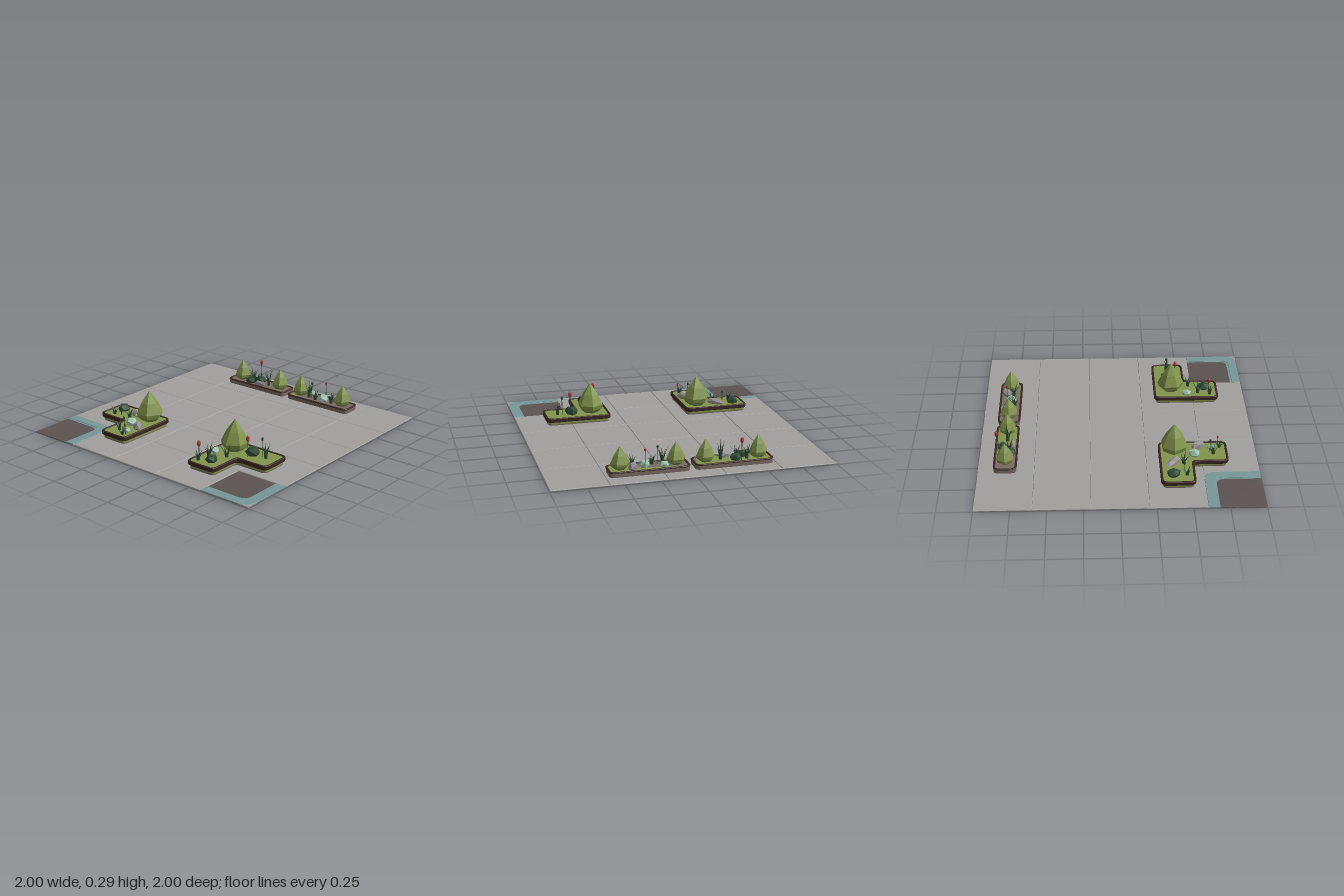
import * as THREE from 'three';
import { mergeGeometries } from 'three/addons/utils/BufferGeometryUtils.js';

const paint = (name, color) => Object.assign(new THREE.MeshStandardMaterial({ color }), { name });
const mats = {
  paving: paint('paving grey', 0xa19f9d),
  curb: paint('teal curb', 0x789798),
  road: paint('road brown', 0x5c5352),
  rim: paint('dark brown', 0x3a2722),
  base: paint('taupe', 0x7a6a63),
  grass: paint('olive green', 0x82944b),
  leaf: paint('dark green', 0x304c38),
  pale: paint('pale mint stone', 0x9cc2b2),
  stone: paint('grey stone', 0x949095),
  red: paint('flower red', 0xb23338),
};

let seed = 7;
const rnd = () => (seed = (seed * 16807) % 2147483647) / 2147483647;

function part(parent, name, geo, mat, x = 0, y = 0, z = 0) {
  const mesh = new THREE.Mesh(geo, mat);
  mesh.name = name;
  mesh.position.set(x, y, z);
  parent.add(mesh);
  return mesh;
}

// Faceted normals without touching the material
function facet(geo) {
  const g = geo.index ? geo.toNonIndexed() : geo;
  g.computeVertexNormals();
  return g;
}

// Outline from [x, z] corners, rounded by r
function rounded(points, r) {
  const s = new THREE.Shape();
  const v = points.map(p => new THREE.Vector2(...p));
  v.forEach((p, i) => {
    const a = v[(i + v.length - 1) % v.length], b = v[(i + 1) % v.length];
    const p1 = p.clone().add(a.clone().sub(p).setLength(r));
    const p2 = p.clone().add(b.clone().sub(p).setLength(r));
    if (i) s.lineTo(p1.x, p1.y); else s.moveTo(p1.x, p1.y);
    s.quadraticCurveTo(p.x, p.y, p2.x, p2.y);
  });
  s.closePath();
  return s;
}

// Flat slab of an [x, z] outline between two heights, with optional chamfer
function slab(shape, y0, y1, bevel = 0) {
  const g = new THREE.ExtrudeGeometry(shape, {
    depth: y1 - y0 - 2 * bevel, curveSegments: 4, bevelEnabled: bevel > 0,
    bevelThickness: bevel, bevelSize: bevel, bevelOffset: -bevel, bevelSegments: 1,
  });
  return g.rotateX(Math.PI / 2).translate(0, y1 - bevel, 0);
}

const rect = (x0, x1, z0, z1) => d => [[x0 + d, z0 + d], [x1 - d, z0 + d], [x1 - d, z1 - d], [x0 + d, z1 - d]];
const leftL = d => [[-0.795 + d, 0.29 + d], [-0.3 - d, 0.29 + d], [-0.3 - d, 0.785 - d],
  [-0.545 + d, 0.785 - d], [-0.545 + d, 0.535 - d], [-0.795 + d, 0.535 - d]];
const rightL = d => [[0.295 + d, 0.3 + d], [0.79 - d, 0.3 + d], [0.79 - d, 0.545 - d],
  [0.54 - d, 0.545 - d], [0.54 - d, 0.795 - d], [0.295 + d, 0.795 - d]];

// Planter: inset plinth, chamfered rim, soil bed and footing
function planter(parent, name, outline, top, rimHeight, inset, footing) {
  const g = new THREE.Group();
  g.name = name;
  parent.add(g);
  const rim = rounded(outline(0), 0.045);
  rim.holes.push(rounded(outline(0.016), 0.033));
  part(g, 'plinth', slab(rounded(outline(inset), 0.035), 0.004, top - rimHeight + 0.004), mats.base);
  part(g, 'rim', slab(rim, top - rimHeight, top, 0.004), mats.rim);
  part(g, 'grassBed', slab(rounded(outline(0.013), 0.035), 0.02, top - 0.006), mats.grass);
  if (footing) part(g, 'footing', slab(rounded(outline(inset), 0.035), 0, 0.004), mats.rim);
  return g;
}

// Pointed six-sided bush
function bush(g, x, z, r, y, top, turn) {
  const h = top - y;
  const profile = [[0, 0], [0.5, 0], [0.9, 0.14], [1, 0.28], [0.62, 0.62], [0, 1]]
    .map(([a, b]) => new THREE.Vector2(a * r, b * h));
  part(g, 'bush', facet(new THREE.LatheGeometry(profile, 6)), mats.grass, x, y, z).rotation.y = turn;
}

// Irregular boulder; shared corners move together
function boulder(g, name, mat, x, y, z, sx, sy, sz, turn = 0) {
  const geo = new THREE.IcosahedronGeometry(1, 0), p = geo.attributes.position, moved = {};
  for (let i = 0; i < p.count; i++) {
    const v = new THREE.Vector3().fromBufferAttribute(p, i);
    const key = v.toArray().map(n => Math.round(n * 50)).join();
    moved[key] ??= 0.85 + 0.35 * rnd();
    v.multiplyScalar(moved[key]);
    p.setXYZ(i, v.x * sx, v.y * sy, v.z * sz);
  }
  part(g, name, facet(geo), mat, x, y + sy * 0.45, z).rotation.y = turn;
}

// Tuft of curved, flattened blades
function tuft(g, x, y, z, h, n = 6) {
  const blades = [];
  for (let i = 0; i < n; i++) {
    const len = h * (0.6 + 0.4 * rnd());
    const b = new THREE.ConeGeometry(0.011, len, 4, 3).translate(0, len / 2, 0).scale(0.4, 1, 1);
    const p = b.attributes.position, lean = 0.02 + 0.03 * rnd();
    for (let k = 0; k < p.count; k++) p.setX(k, p.getX(k) + 0.006 + lean * (p.getY(k) / len) ** 2);
    blades.push(facet(b.rotateY(i * Math.PI * 2 / n + rnd())));
  }
  part(g, 'grassTuft', mergeGeometries(blades), mats.leaf, x, y, z);
}

// Thin stem with an oval bud
function flower(g, x, y, z, top, r, mat) {
  const h = top - y;
  part(g, 'stem', new THREE.CylinderGeometry(0.002, 0.003, h, 5), mats.leaf, x, y + h / 2, z);
  part(g, 'bud', facet(new THREE.SphereGeometry(r, 6, 4).scale(1, 1.7, 1)), mat, x, top - r * 1.7, z);
}

export function createModel() {
  const model = new THREE.Group();
  model.name = 'plaza';

  // Paving slabs, leaving the two front corners for the road
  const tile = slab(rounded(rect(-0.2, 0.2, -0.2, 0.2)(0), 0.001), 0.002, 0.012, 0.004);
  for (let i = -2; i <= 2; i++) for (let j = -2; j <= 2; j++) {
    if (j === 2 && Math.abs(i) === 2) continue;
    part(model, 'pavingSlab', tile, mats.paving, i * 0.4, 0, j * 0.4);
  }

  // Road corners with a rounded curb
  const bend = (w, r) => { // quarter outline, inset by w
    const s = new THREE.Shape(), e = 0.4;
    s.moveTo(0, w); s.lineTo(e - w - r, w);
    s.quadraticCurveTo(e - w, w, e - w, w + r);
    s.lineTo(e - w, e); s.lineTo(0, e); s.closePath();
    return s;
  };
  const strip = (w0, r0, w1, r1) => {
    const s = new THREE.Shape(), e = 0.4;
    s.moveTo(0, w0); s.lineTo(e - w0 - r0, w0);
    s.quadraticCurveTo(e - w0, w0, e - w0, w0 + r0);
    s.lineTo(e - w0, e); s.lineTo(e - w1, e); s.lineTo(e - w1, w1 + r1);
    s.quadraticCurveTo(e - w1, w1, e - w1 - r1, w1);
    s.lineTo(0, w1); s.closePath();
    return s;
  };
  const filler = new THREE.Shape();
  filler.moveTo(0.31, 0); filler.lineTo(0.4, 0); filler.lineTo(0.4, 0.09);
  filler.quadraticCurveTo(0.4, 0, 0.31, 0);
  for (const side of [-1, 1]) {
    const g = new THREE.Group();
    g.name = side < 0 ? 'rightRoadCorner' : 'leftRoadCorner';
    const place = geo => side < 0 ? geo.translate(-1, 0, 0.6)
      : geo.rotateY(-Math.PI / 2).translate(1, 0, 0.6);
    part(g, 'road', place(slab(bend(0.08, 0.06), 0.001, 0.005)), mats.road);
    part(g, 'curb', place(slab(strip(0, 0.09, 0.066, 0.07), 0.001, 0.013, 0.002)), mats.curb);
    part(g, 'curbLip', place(slab(strip(0.066, 0.07, 0.08, 0.06), 0.001, 0.009)), mats.curb);
    part(g, 'cornerPaving', place(slab(filler, 0.002, 0.012)), mats.paving);
    model.add(g);
  }

  // Planters
  const fl = planter(model, 'frontRightPlanter', leftL, 0.07, 0.032, 0.014, true);
  const fr = planter(model, 'frontLeftPlanter', rightL, 0.07, 0.032, 0.014, true);
  const bl = planter(model, 'backRightPlanter', rect(-0.585, -0.02, -0.89, -0.72), 0.05, 0.01, 0.005, false);
  const br = planter(model, 'backLeftPlanter', rect(0.01, 0.58, -0.89, -0.72), 0.05, 0.01, 0.005, false);
  const F = 0.062, B = 0.042;

  // Bushes
  bush(fl, -0.41, 0.4, 0.1, F, 0.295, Math.PI / 6);
  bush(fr, 0.43, 0.43, 0.1, F, 0.295, 0);
  for (const [g, x] of [[bl, -0.49], [bl, -0.11], [br, 0.1], [br, 0.49]]) bush(g, x, -0.805, 0.066, B, 0.205, Math.PI / 6);

  // Low shrubs: x, z, radius
  for (const [g, y, x, z, r] of [[fl, F, -0.7, 0.38, 0.046], [fr, F, 0.58, 0.415, 0.052], [fr, F, 0.44, 0.69, 0.042],
    [bl, B, -0.315, -0.83, 0.04], [bl, B, -0.38, -0.77, 0.04]]) boulder(g, 'shrub', mats.leaf, x, y, z, r, r * 0.85, r);

  // Pale stones
  for (const [g, y, x, z, r] of [[fl, F, -0.46, 0.545, 0.042], [fl, F, -0.38, 0.67, 0.028], [fr, F, 0.35, 0.555, 0.036],
    [br, B, 0.19, -0.84, 0.035], [br, B, 0.32, -0.8, 0.042]]) boulder(g, 'paleStone', mats.pale, x, y, z, r, r * 0.8, r);

  // Grey stones
  boulder(fl, 'greyStone', mats.stone, -0.56, F, 0.385, 0.075, 0.03, 0.032, -0.7);
  boulder(fl, 'greyStone', mats.stone, -0.365, F, 0.575, 0.065, 0.035, 0.032, -0.95);
  boulder(bl, 'greyStone', mats.stone, -0.275, B, -0.762, 0.05, 0.025, 0.018, 0.1);
  boulder(br, 'greyStone', mats.stone, 0.405, B, -0.84, 0.035, 0.04, 0.032, 0.5);

  // Grass tufts: x, z, height
  for (const [g, y, x, z, h] of [[fl, F, -0.7, 0.475, 0.07], [fl, F, -0.56, 0.46, 0.09], [fl, F, -0.45, 0.68, 0.1],
    [fl, F, -0.37, 0.73, 0.08], [fr, F, 0.69, 0.415, 0.12], [fr, F, 0.37, 0.64, 0.11], [fr, F, 0.47, 0.57, 0.11],
    [fr, F, 0.35, 0.73, 0.08], [bl, B, -0.22, -0.8, 0.14], [bl, B, -0.4, -0.83, 0.11], [bl, B, -0.34, -0.785, 0.1],
    [br, B, 0.19, -0.785, 0.14], [br, B, 0.4, -0.785, 0.11], [br, B, 0.26, -0.77, 0.08]]) tuft(g, x, y, z, h);

  // Flowers and dark seed heads
  for (const [g, y, x, z, top, r, m] of [[fr, F, 0.35, 0.72, 0.205, 0.014, 'red'], [fr, F, 0.58, 0.475, 0.222, 0.014, 'red'],
    [fl, F, -0.35, 0.72, 0.15, 0.007, 'red'], [bl, B, -0.35, -0.87, 0.215, 0.013, 'red'], [br, B, 0.32, -0.83, 0.185, 0.008, 'red'],
    [fr, F, 0.655, 0.41, 0.21, 0.009, 'leaf'], [fl, F, -0.645, 0.46, 0.14, 0.008, 'leaf'], [fl, F, -0.42, 0.66, 0.17, 0.008, 'leaf'],
    [br, B, 0.22, -0.78, 0.18, 0.008, 'leaf']]) flower(g, x, y, z, top, r, mats[m]);

  return model;
}
